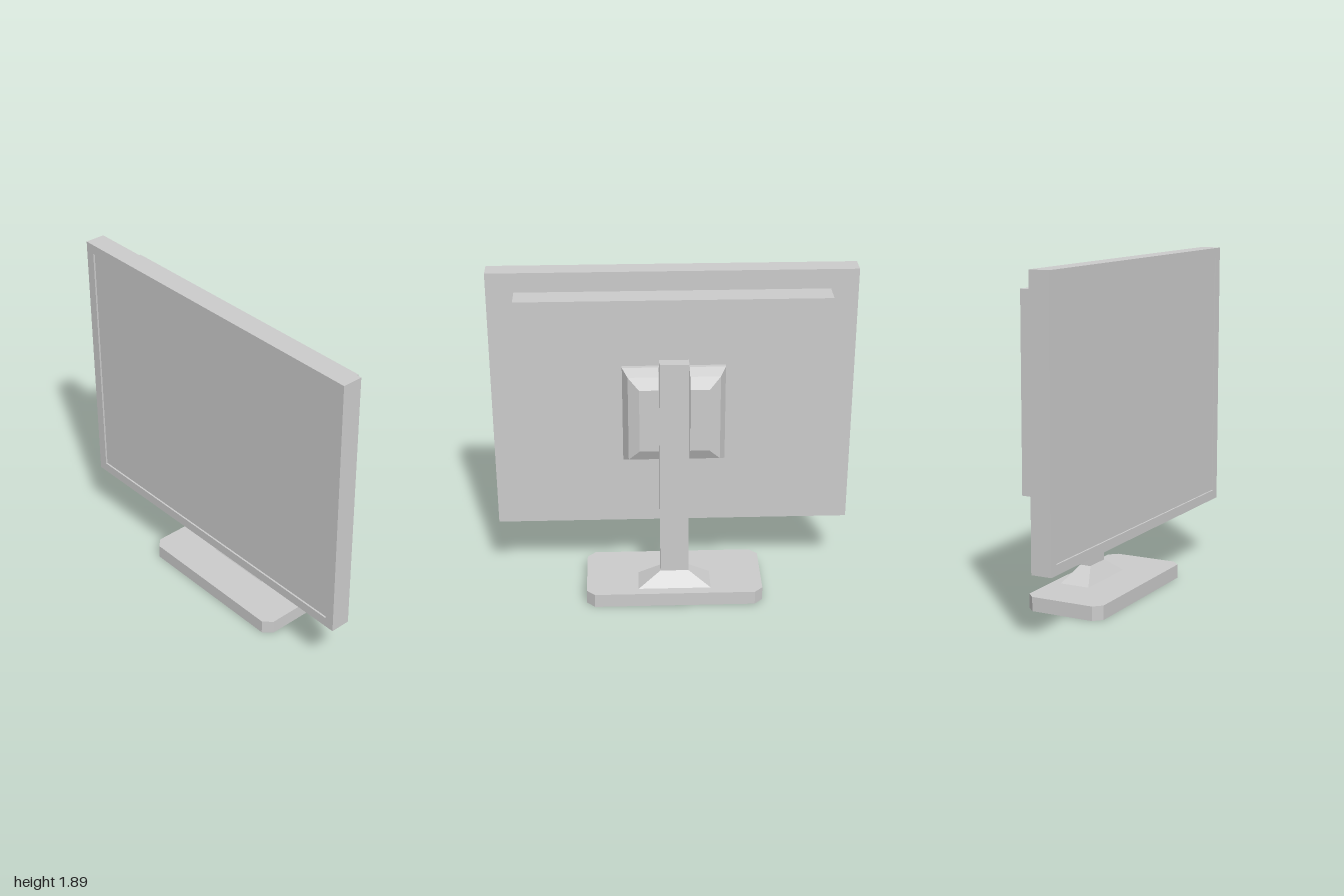
import * as THREE from 'three';

const material = new THREE.MeshStandardMaterial({ color: 0xcccccc, flatShading: true });

function add(parent, name, geometry) {
  const mesh = new THREE.Mesh(geometry, material);
  mesh.name = name;
  parent.add(mesh);
  return mesh;
}

// Box from its minimum and maximum corners
function box(x0, x1, y0, y1, z0, z1) {
  return new THREE.BoxGeometry(x1 - x0, y1 - y0, z1 - z0)
    .translate((x0 + x1) / 2, (y0 + y1) / 2, (z0 + z1) / 2);
}

// Capped solid through four-cornered rings, counter-clockwise seen from the last ring's side
function loft(rings) {
  const positions = [];
  const quad = (a, b, c, d) => positions.push(...a, ...b, ...c, ...a, ...c, ...d);
  for (let r = 0; r < rings.length - 1; r++) {
    for (let i = 0; i < 4; i++) {
      const j = (i + 1) % 4;
      quad(rings[r][i], rings[r][j], rings[r + 1][j], rings[r + 1][i]);
    }
  }
  const [a, b, c, d] = rings[0];
  quad(d, c, b, a);
  quad(...rings[rings.length - 1]);
  const geometry = new THREE.BufferGeometry();
  geometry.setAttribute('position', new THREE.Float32BufferAttribute(positions, 3));
  geometry.computeVertexNormals();
  return geometry;
}

const ringZ = (x0, x1, y0, y1, z) => [[x0, y0, z], [x1, y0, z], [x1, y1, z], [x0, y1, z]];
const ringY = (x0, x1, z0, z1, y) => [[x0, y, z1], [x1, y, z1], [x1, y, z0], [x0, y, z0]];

function polygon(points, Type = THREE.Shape) {
  return new Type(points.map(([x, y]) => new THREE.Vector2(x, y)));
}

export function createModel() {
  const model = new THREE.Group();
  model.name = 'monitor';

  // Bezel frame with a slightly recessed display panel
  const rim = 0.055, bottom = 0.37, top = 1.89;
  const frame = polygon([[-1, bottom], [1, bottom], [1, top], [-1, top]]);
  const w = 1 - rim, lo = bottom + rim, hi = top - rim;
  frame.holes.push(polygon([[-w, lo], [-w, hi], [w, hi], [w, lo]], THREE.Path));
  add(model, 'bezel', new THREE.ExtrudeGeometry(frame, { depth: 0.115, bevelEnabled: false }).translate(0, 0, 0.115));
  add(model, 'displayPanel', box(-w, w, lo, hi, 0.115, 0.22));

  // Rear housing
  add(model, 'rearHousing', box(-0.85, 0.85, 0.73, 1.78, -0.025, 0.115));

  // Bevelled mount: a back plate and two halves with a slot for the post between them
  const mount = new THREE.Group();
  mount.name = 'mount';
  model.add(mount);
  add(mount, 'mountPlate', box(-0.28, 0.28, 0.85, 1.405, -0.05, -0.025));
  const steps = [[0.19, 0.183, -0.14], [0.25, 0.247, -0.11], [0.28, 0.2775, -0.05]];
  const slot = 0.085, midY = 1.1275;
  for (const side of [1, -1]) {
    const rings = steps.map(([x, h, z]) =>
      ringZ(Math.min(side * slot, side * x), Math.max(side * slot, side * x), midY - h, midY + h, z));
    add(mount, side > 0 ? 'mountLeft' : 'mountRight', loft(rings));
  }

  // Post and its flared foot
  add(model, 'post', box(-0.08, 0.08, 0.165, 1.45, -0.12, -0.055));
  add(model, 'postFoot', loft([
    ringY(-0.205, 0.205, -0.175, 0, 0.08),
    ringY(-0.08, 0.08, -0.12, -0.055, 0.165),
  ]));

  // Base plate with cut corners
  const X = 0.5, Z = 0.23, c = 0.046;
  const plate = polygon([
    [-X + c, -Z], [X - c, -Z], [X, -Z + c], [X, Z - c],
    [X - c, Z], [-X + c, Z], [-X, Z - c], [-X, -Z + c],
  ]);
  add(model, 'base', new THREE.ExtrudeGeometry(plate, { depth: 0.08, bevelEnabled: false }).rotateX(-Math.PI / 2));

  return model;
}
